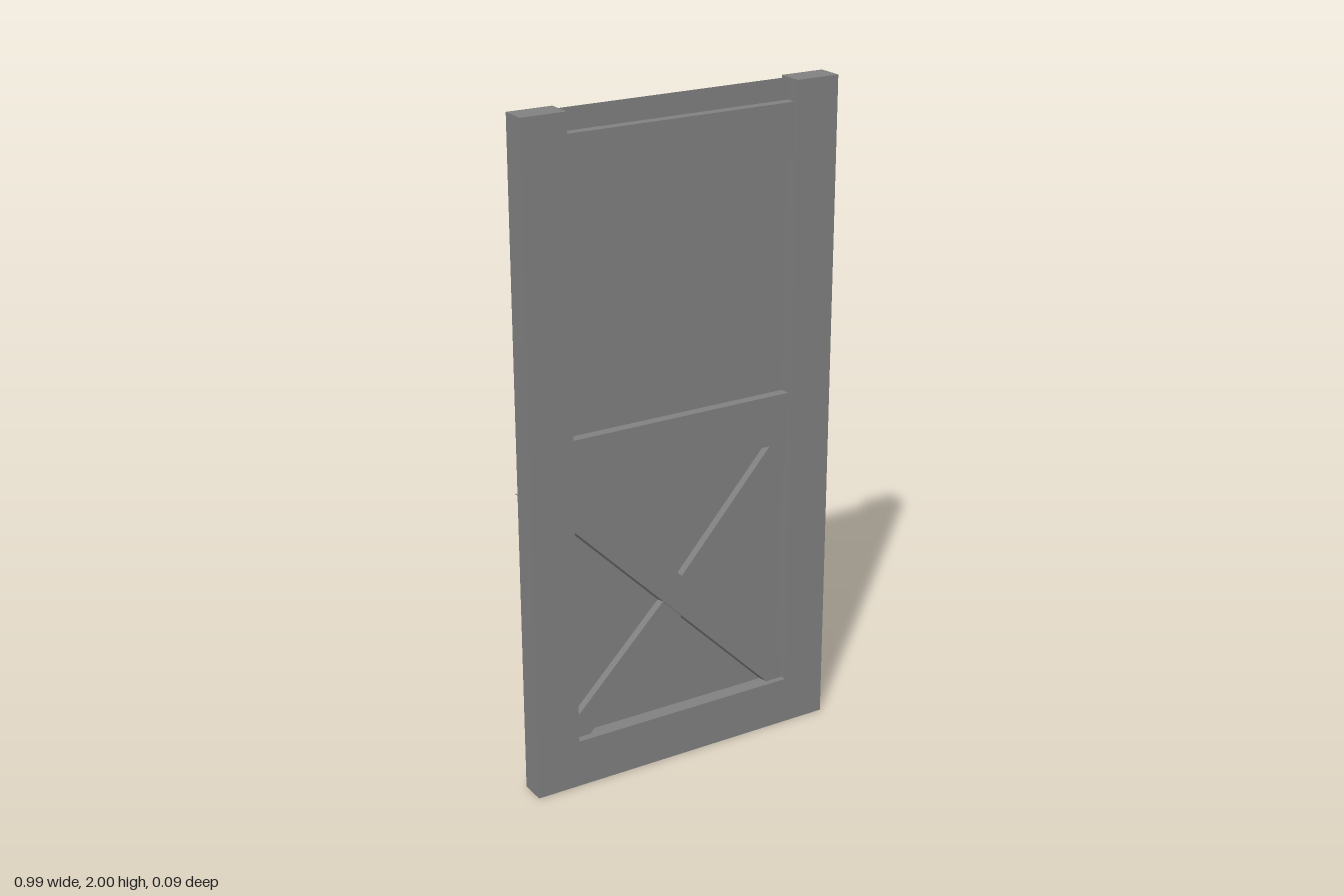
import * as THREE from 'three';

const material = new THREE.MeshStandardMaterial({
  color: 0x808080, flatShading: true, side: THREE.DoubleSide,
});

function addFace(group, outline, z) {
  const shape = new THREE.Shape(outline.map(([x, y]) => new THREE.Vector2(x, y)));
  const face = new THREE.Mesh(new THREE.ShapeGeometry(shape), material);
  face.name = group.name + 'Face';
  face.position.z = z;
  group.add(face);
}

// Wall along a line of points, its back edge moved sideways by shift
function addWall(group, line, front, back, shift = [0, 0]) {
  const positions = [];
  const [dx, dy] = shift;
  for (let i = 0; i < line.length - 1; i++) {
    const [ax, ay] = line[i], [bx, by] = line[i + 1];
    positions.push(
      ax, ay, front, ax + dx, ay + dy, back, bx + dx, by + dy, back,
      ax, ay, front, bx + dx, by + dy, back, bx, by, front,
    );
  }
  const geometry = new THREE.BufferGeometry();
  geometry.setAttribute('position', new THREE.Float32BufferAttribute(positions, 3));
  geometry.computeVertexNormals();
  const wall = new THREE.Mesh(geometry, material);
  wall.name = group.name + 'Edge';
  group.add(wall);
}

// Board with walls all round, open at the back
function board(name, outline, front, back) {
  const group = new THREE.Group();
  group.name = name;
  addFace(group, outline, front);
  addWall(group, [...outline, outline[0]], front, back);
  return group;
}

// Diagonal board with open ends and long edges that flare towards the back
function brace(name, lower, upper, side, front, back) {
  const group = new THREE.Group();
  group.name = name;
  addFace(group, [...lower, ...[...upper].reverse()], front);
  addWall(group, lower, front, back, [side * 0.01, -0.01]);
  addWall(group, upper, front, back, [side * -0.004, 0.004]);
  return group;
}

const rectangle = (x, y0, y1) => [[-x, y0], [x, y0], [x, y1], [-x, y1]];

export function createModel() {
  const door = new THREE.Group();
  door.name = 'door';
  const outer = 0.497, inner = 0.361, frontZ = 0.048, backZ = -0.03, railZ = 0.032;

  // Both stiles and the bottom rail in one U-shaped frame
  door.add(board('frame', [
    [-outer, 0], [outer, 0], [outer, 2], [inner, 2],
    [inner, 0.147], [-inner, 0.147], [-inner, 2], [-outer, 2],
  ], frontZ, backZ));

  // Upper and middle rails, set slightly behind the frame
  door.add(board('middleRail', rectangle(inner, 0.925, 1.08), railZ, backZ));
  door.add(board('topRail', rectangle(inner, 1.777, 1.937), railZ, backZ));

  // Thin panel behind everything
  const panel = new THREE.Mesh(new THREE.PlaneGeometry(2 * outer, 2), material);
  panel.name = 'panel';
  panel.position.set(0, 1, 0.002);
  door.add(panel);

  // Crossed braces, their edges standing out at the back
  door.add(brace('fallingBrace',
    [[-0.487, 0.937], [0.32, 0.132]],
    [[-0.395, 0.956], [0.01, 0.57], [0.43, 0.14]],
    -1, 0.03, -0.047));
  door.add(brace('risingBrace',
    [[-0.33, 0.13], [0.07, 0.515], [0.45, 0.96]],
    [[-0.446, 0.12], [0, 0.575], [0.335, 0.956]],
    1, 0.025, -0.047));

  return door;
}
